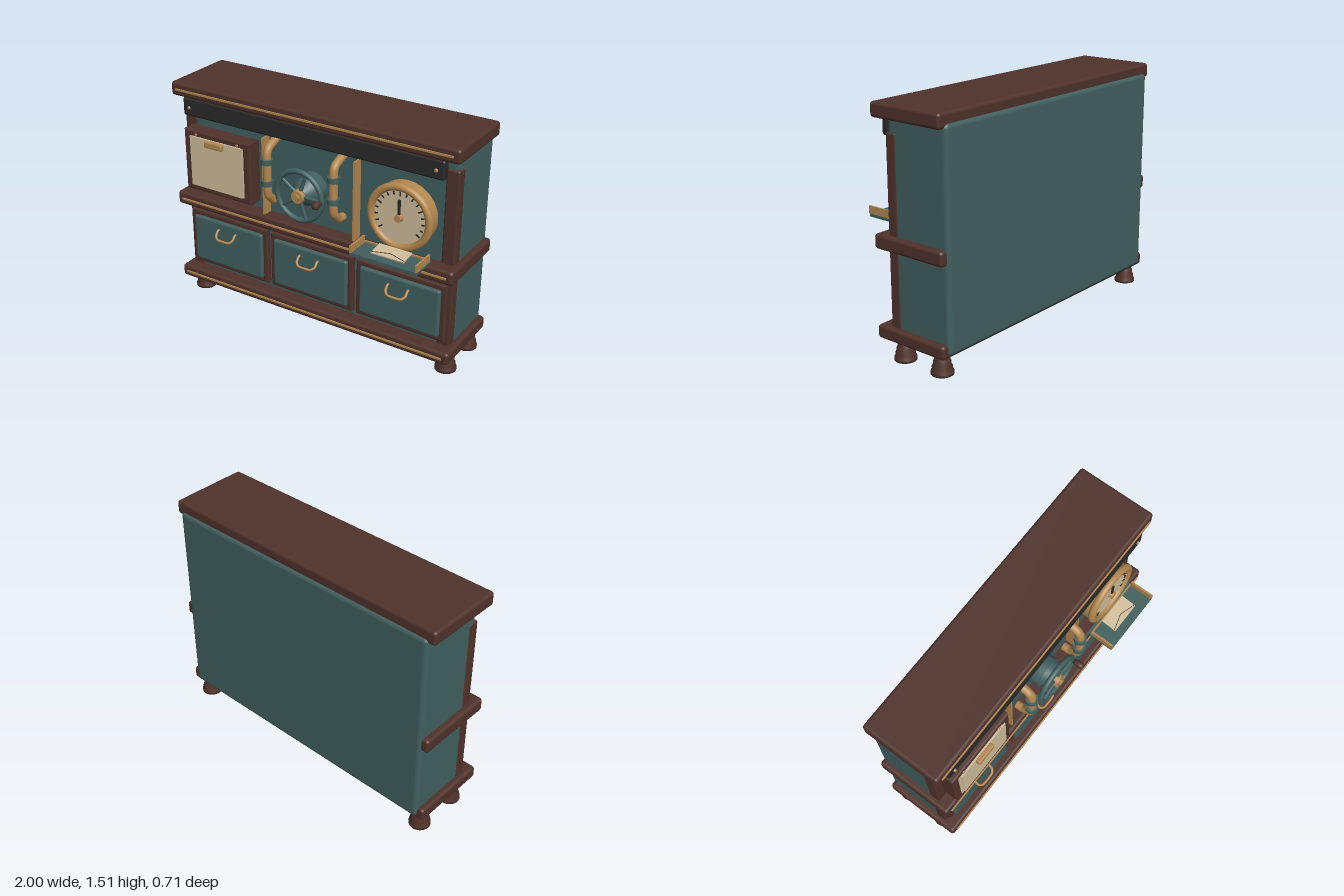
import * as THREE from 'three';
import { RoundedBoxGeometry } from 'three/addons/geometries/RoundedBoxGeometry.js';

const paint = (name, color) => Object.assign(new THREE.MeshStandardMaterial({ color }), { name });

export function createModel() {
  const teal = paint('teal enamel', 0x41605f);
  const brown = paint('dark wood', 0x50322b);
  const brass = paint('brass', 0xb48850);
  const cream = paint('cream paper', 0xd0be9b);
  const black = paint('black iron', 0x2a2a2a);
  const root = new THREE.Group();
  root.name = 'cabinet';

  const add = (name, geo, mat, pos = [0, 0, 0], parent = root) => {
    const m = new THREE.Mesh(geo, mat);
    m.name = name;
    m.position.set(...pos);
    parent.add(m);
    return m;
  };
  const group = (name, x = 0, y = 0, z = 0) => {
    const g = new THREE.Group();
    g.name = name;
    g.position.set(x, y, z);
    root.add(g);
    return g;
  };
  // box given by its limits on each axis, rounded when r > 0
  const box = (name, mat, [x0, x1], [y0, y1], [z0, z1], r = 0, parent = root) => {
    const s = [x1 - x0, y1 - y0, z1 - z0];
    const geo = r ? new RoundedBoxGeometry(...s, 3, r) : new THREE.BoxGeometry(...s);
    return add(name, geo, mat, [(x0 + x1) / 2, (y0 + y1) / 2, (z0 + z1) / 2], parent);
  };
  // cylinder whose axis points along z
  const disc = (name, mat, rFront, rBack, z0, z1, x, y, parent, sides = 40) => {
    const geo = new THREE.CylinderGeometry(rFront, rBack, z1 - z0, sides).rotateX(Math.PI / 2);
    return add(name, geo, mat, [x, y, (z0 + z1) / 2], parent);
  };
  // tube through points with short rounded bends
  const pipe = (name, mat, pts, r, parent, bend = 0.3) => {
    const v = pts.map((p) => new THREE.Vector3(...p));
    const path = new THREE.CurvePath();
    let last = v[0];
    for (let i = 1; i < v.length - 1; i++) {
      const a = v[i].clone().lerp(v[i - 1], bend), b = v[i].clone().lerp(v[i + 1], bend);
      path.add(new THREE.LineCurve3(last, a));
      path.add(new THREE.QuadraticBezierCurve3(a, v[i], b));
      last = b;
    }
    path.add(new THREE.LineCurve3(last, v[v.length - 1]));
    return add(name, new THREE.TubeGeometry(path, 40, r, 14), mat, [0, 0, 0], parent);
  };
  // rectangular frame with a soft front edge
  const frame = (name, mat, w, h, border, depth, pos, parent) => {
    const b = 0.012, x = w / 2 - b, y = h / 2 - b, i = w / 2 - border + b, j = h / 2 - border + b;
    const s = new THREE.Shape([[-x, -y], [x, -y], [x, y], [-x, y]].map((p) => new THREE.Vector2(...p)));
    s.holes.push(new THREE.Path([[-i, -j], [-i, j], [i, j], [i, -j]].map((p) => new THREE.Vector2(...p))));
    const geo = new THREE.ExtrudeGeometry(s, {
      depth: depth - 2 * b, bevelThickness: b, bevelSize: b, bevelSegments: 3,
    }).translate(0, 0, b);
    return add(name, geo, mat, pos, parent);
  };

  // carcass, slabs with brass inlay, corner posts
  box('body', teal, [-0.96, 0.96], [0.13, 1.45], [-0.355, 0.08], 0.03);
  for (const [name, y0, y1] of [['top', 1.42, 1.51], ['middle', 0.665, 0.755], ['bottom', 0.12, 0.203]]) {
    box(name + 'Slab', brown, [-1, 1], [y0, y1], [-0.34, 0.175], 0.02);
    const y = (y0 + y1) / 2;
    box(name + 'Inlay', brass, [-0.96, 0.96], [y - 0.006, y + 0.006], [0.17, 0.183]);
  }
  for (const s of [-1, 1]) {
    const x = s * 0.923;
    box('cornerPost', brown, [x - 0.042, x + 0.042], [0.1, 1.345], [0.02, 0.092], 0.012);
  }

  // turned feet
  const footProfile = [[0, 0], [0.067, 0], [0.067, 0.018], [0.058, 0.03], [0.06, 0.045], [0.052, 0.06],
    [0.053, 0.075], [0.045, 0.09], [0.043, 0.105], [0.037, 0.13]].map((p) => new THREE.Vector2(...p));
  for (const x of [-0.923, 0.923]) {
    for (const z of [0.028, -0.26]) add('foot', new THREE.LatheGeometry(footProfile, 28), brown, [x, 0, z]);
  }

  // iron rail under the top
  box('ironRail', black, [-0.91, 0.91], [1.305, 1.425], [0.12, 0.175], 0.015);
  for (const x of [-0.86, 0.86]) disc('railRivet', brass, 0.008, 0.012, 0.174, 0.185, x, 1.362, root, 16);

  // drawers
  for (const x of [-0.635, 0, 0.635]) {
    const g = group('drawer', x, 0.427, 0);
    frame('drawerFrame', brown, 0.61, 0.386, 0.04, 0.04, [0, 0, 0.075], g);
    box('drawerPanel', teal, [-0.272, 0.272], [-0.16, 0.16], [0.075, 0.137], 0.015, g);
    pipe('drawerHandle', brass, [[-0.068, 0.105, 0.13], [-0.068, 0.103, 0.15], [-0.068, 0.075, 0.172],
      [-0.045, 0.058, 0.19], [0.045, 0.058, 0.19], [0.068, 0.075, 0.172], [0.068, 0.103, 0.15],
      [0.068, 0.105, 0.13]], 0.008, g);
  }

  // notice board with paper and clip
  const board = group('noticeBoard', -0.65, 1.015, 0);
  frame('boardFrame', brown, 0.51, 0.41, 0.05, 0.108, [0, 0, 0.078], board);
  box('boardBack', brown, [-0.22, 0.22], [-0.17, 0.17], [0.08, 0.165], 0, board);
  box('backSheet', cream, [-0.208, 0.19], [-0.17, 0.17], [0.16, 0.19], 0, board);
  box('frontSheet', cream, [-0.19, 0.207], [-0.162, 0.17], [0.19, 0.198], 0, board);
  box('clip', brass, [-0.068, 0.068], [0.13, 0.172], [0.195, 0.228], 0.008, board);
  for (const x of [-0.16, 0.16]) disc('boardPin', brass, 0.008, 0.01, 0.18, 0.192, x, 0.182, board, 12);

  // upright brass dividers
  for (const x of [-0.325, 0.325]) box('divider', brass, [x - 0.006, x + 0.006], [0.755, 1.27], [0.075, 0.15]);

  // bent pipes with collars
  for (const x of [-0.235, 0.235]) {
    const g = group('steamPipe', x);
    pipe('pipe', brass, [[0, 1.3, 0.08], [0, 1.245, 0.228], [0, 0.95, 0.228], [0, 0.89, 0.17], [0, 0.885, 0.12]],
      0.026, g, 0.22);
    for (const y of [1.17, 1.03]) {
      add('pipeCollar', new THREE.CylinderGeometry(0.038, 0.038, 0.032, 24), teal, [0, y, 0.228], g);
    }
  }

  // hand wheel
  const wheel = group('handWheel', 0, 1.005, 0);
  disc('wheelBase', teal, 0.1, 0.1, 0.07, 0.17, 0, 0, wheel);
  disc('wheelCone', teal, 0.045, 0.09, 0.17, 0.235, 0, 0, wheel);
  add('wheelRim', new THREE.TorusGeometry(0.158, 0.017, 14, 56), teal, [0, 0, 0.235], wheel);
  for (let i = 0; i < 5; i++) {
    const geo = new THREE.CylinderGeometry(0.01, 0.012, 0.13, 12).translate(0, 0.095, 0);
    add('wheelSpoke', geo, teal, [0, 0, 0.235], wheel).rotation.z = (i * 2 * Math.PI) / 5 - Math.PI / 2;
  }
  disc('wheelHub', brass, 0.04, 0.045, 0.225, 0.262, 0, 0, wheel, 24);
  disc('hubNut', brass, 0.022, 0.024, 0.262, 0.276, 0, 0, wheel, 6);
  disc('crankPin', brass, 0.009, 0.009, 0.235, 0.27, 0.156, 0, wheel, 12);
  const knob = [[0, 0.25], [0.015, 0.25], [0.018, 0.265], [0.022, 0.285], [0.022, 0.305], [0.014, 0.317], [0, 0.317]];
  add('crankKnob', new THREE.LatheGeometry(knob.map((p) => new THREE.Vector2(...p)), 20).rotateX(Math.PI / 2),
    brown, [0.156, 0, 0], wheel);

  // round dial
  const dial = group('dial', 0.643, 1.012, 0);
  disc('dialHousing', brass, 0.2, 0.2, 0.07, 0.155, 0, 0, dial, 56);
  add('dialRim', new THREE.TorusGeometry(0.189, 0.024, 16, 64), brass, [0, 0, 0.165], dial);
  disc('dialFace', cream, 0.176, 0.176, 0.15, 0.168, 0, 0, dial, 56);
  for (let i = 0; i <= 16; i++) {
    const long = i % 4 === 0 ? 0.028 : 0.02;
    const geo = new THREE.BoxGeometry(0.008, long, 0.006).translate(0, 0.162 - long / 2, 0);
    add('dialTick', geo, black, [0, 0, 0.17], dial).rotation.z = THREE.MathUtils.degToRad(125 - i * 15.6);
  }
  box('needle', black, [-0.008, 0.008], [-0.01, 0.115], [0.174, 0.183], 0, dial);
  disc('needleHub', brass, 0.022, 0.025, 0.168, 0.195, 0, 0, dial, 24);

  // tray below the dial with a letter
  const tray = group('tray', 0.643, 0, 0);
  box('trayFloor', teal, [-0.217, 0.217], [0.784, 0.804], [0.17, 0.352], 0, tray);
  for (const s of [-1, 1]) {
    const x = s * 0.213;
    box('traySide', brass, [x - 0.006, x + 0.006], [0.803, 0.85], [0.195, 0.355], 0, tray);
  }
  box('trayBackLip', brass, [-0.213, 0.213], [0.803, 0.815], [0.188, 0.197], 0, tray);
  const letter = box('letter', cream, [-0.108, 0.108], [0.814, 0.822], [0.198, 0.302], 0, tray);
  letter.rotation.x = 0.12;
  for (const s of [-1, 1]) {
    // fold lines of the letter flap
    const fold = add('letterFold', new THREE.BoxGeometry(0.112, 0.003, 0.004), brown, [s * 0.053, 0.0045, 0.028], letter);
    fold.position.y = 0.0045;
    fold.rotation.y = -s * 0.28;
  }
  return root;
}
